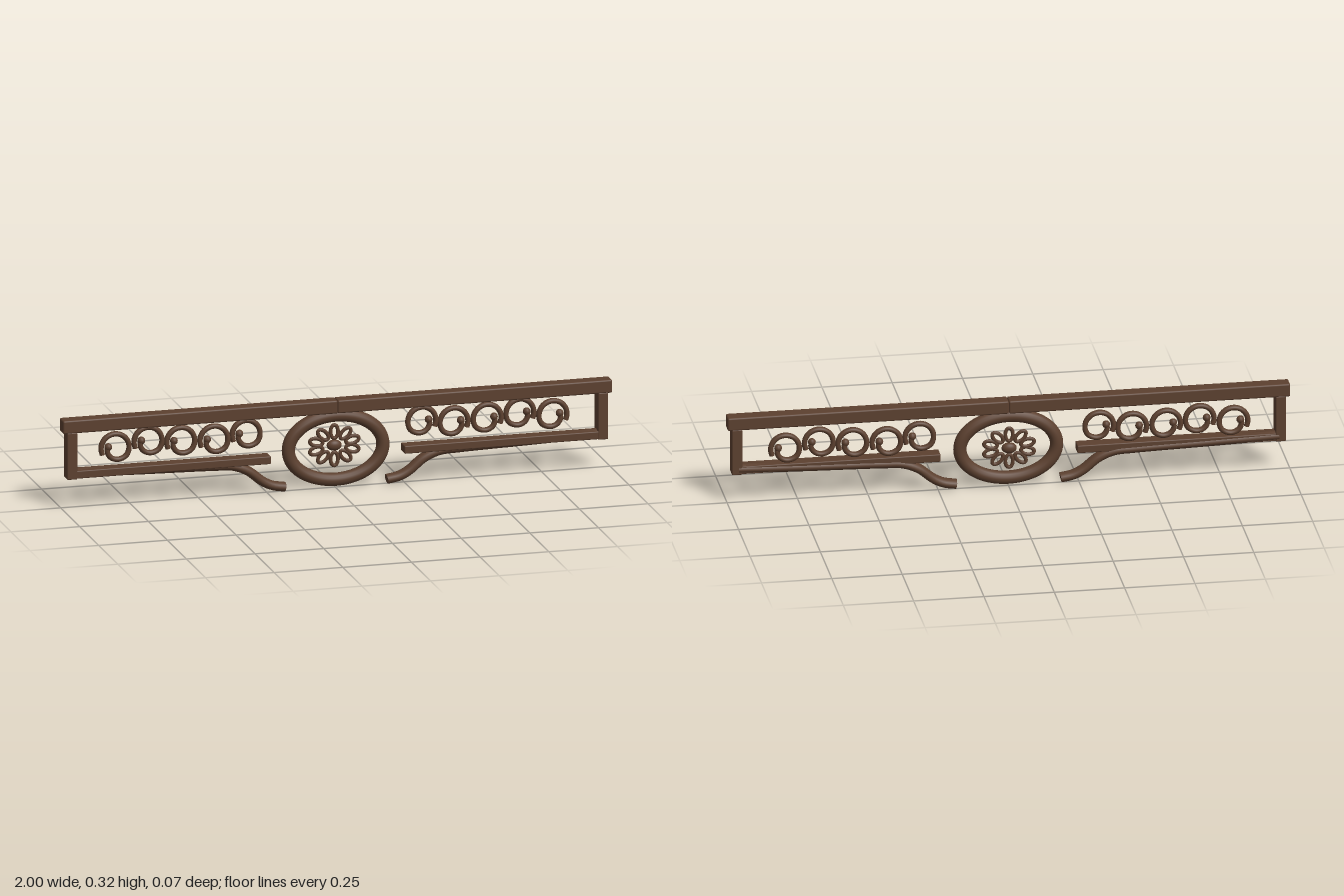
import * as THREE from 'three';
import { RoundedBoxGeometry } from 'three/addons/geometries/RoundedBoxGeometry.js';

const wood = new THREE.MeshStandardMaterial({ color: 0x5c402f });
wood.name = 'dark brown wood';

const FRAME_Z = 0.009;

export function createModel() {
  const model = new THREE.Group();
  model.name = 'carvedCrestRail';

  function add(name, geometry, x = 0, y = 0, z = 0) {
    const mesh = new THREE.Mesh(geometry, wood);
    mesh.name = name;
    mesh.position.set(x, y, z);
    model.add(mesh);
    return mesh;
  }

  function box(name, x0, x1, y0, y1, z0, z1, r = 0.004) {
    add(name, new RoundedBoxGeometry(Math.abs(x1 - x0), y1 - y0, z1 - z0, 2, r),
      (x0 + x1) / 2, (y0 + y1) / 2, (z0 + z1) / 2);
  }

  // round bar along a path, with flat end caps; depth stretches it in z
  function bar(name, points, radius, z, segments, depth = 1) {
    const curve = new THREE.CatmullRomCurve3(points.map(([x, y]) => new THREE.Vector3(x, y, 0)));
    add(name, new THREE.TubeGeometry(curve, segments, radius, 12), 0, 0, z).scale.z = depth;
    for (const t of [0, 1]) {
      const p = curve.getPoint(t);
      const dir = curve.getTangent(t).multiplyScalar(t ? 1 : -1);
      const cap = new THREE.CircleGeometry(radius, 12);
      cap.applyQuaternion(new THREE.Quaternion().setFromUnitVectors(new THREE.Vector3(0, 0, 1), dir));
      add(name + 'Cap', cap, p.x, p.y, z).scale.z = depth;
    }
  }

  // closed oval ring
  function ovalRing(name, cx, cy, z, rx, ry, radius, turn = 0, segments = 64, sides = 12) {
    const points = [];
    for (let i = 0; i < 24; i++) {
      const a = (i / 24) * Math.PI * 2;
      points.push(new THREE.Vector3(rx * Math.cos(a), ry * Math.sin(a), 0));
    }
    const curve = new THREE.CatmullRomCurve3(points, true);
    add(name, new THREE.TubeGeometry(curve, segments, radius, sides, true), cx, cy, z).rotation.z = turn;
  }

  // scroll centres: [x, y], from the middle outwards
  const scrolls = [[0.32, 0.215], [0.437, 0.203], [0.558, 0.207], [0.677, 0.217], [0.797, 0.202]];

  for (const s of [1, -1]) {
    const side = s > 0 ? 'left' : 'right';

    // frame
    box(side + 'TopRail', 0, s, 0.28, 0.328, -0.017, 0.035, 0.006);
    box(side + 'Post', s * 0.948, s * 0.985, 0.112, 0.283, -0.017, 0.035);
    box(side + 'LowerRail', s * 0.243, s * 0.983, 0.114, 0.143, -0.016, 0.034);

    // moulding below the lower rail that sweeps down to the oval
    bar(side + 'Brace', [[0.96, 0.13], [0.7, 0.122], [0.45, 0.115], [0.375, 0.11], [0.32, 0.088],
      [0.265, 0.045], [0.23, 0.028], [0.186, 0.02]].map(([x, y]) => [s * x, y]), 0.017, 0.004, 60, 1.4);

    // chain of scrolls, each one arching over and curling inwards
    scrolls.forEach(([cx, cy]) => {
      const points = [];
      for (let i = 0; i <= 18; i++) {
        const t = i / 18;
        const a = THREE.MathUtils.degToRad(-25 + 395 * t);
        const r = t < 0.6 ? 0.051 : 0.051 - 0.026 * (t - 0.6) / 0.4;
        points.push([s * (cx + r * Math.cos(a)), cy + r * Math.sin(a)]);
      }
      bar(side + 'Scroll', points, 0.0095, -0.018, 60, 1.2);
      const [ex, ey] = points[18];
      add(side + 'ScrollTip', new THREE.SphereGeometry(0.014, 12, 8), ex, ey, -0.018);
    });
  }

  // central oval
  ovalRing('ovalRing', 0, 0.15, 0.004, 0.172, 0.117, 0.0235, 0, 96, 16);

  // rosette of looped petals around a button
  for (let i = 0; i < 10; i++) {
    const a = ((i + 0.5) / 10) * Math.PI * 2;
    ovalRing('petal', 0.069 * Math.cos(a), 0.152 + 0.05 * Math.sin(a), -0.014,
      0.024, 0.0135, 0.0068, Math.atan2(0.05 * Math.sin(a), 0.069 * Math.cos(a)), 28, 8);
  }
  add('rosetteButton', new THREE.SphereGeometry(1, 24, 14), 0, 0.152, -0.016).scale.set(0.027, 0.02, 0.017);

  return model;
}
